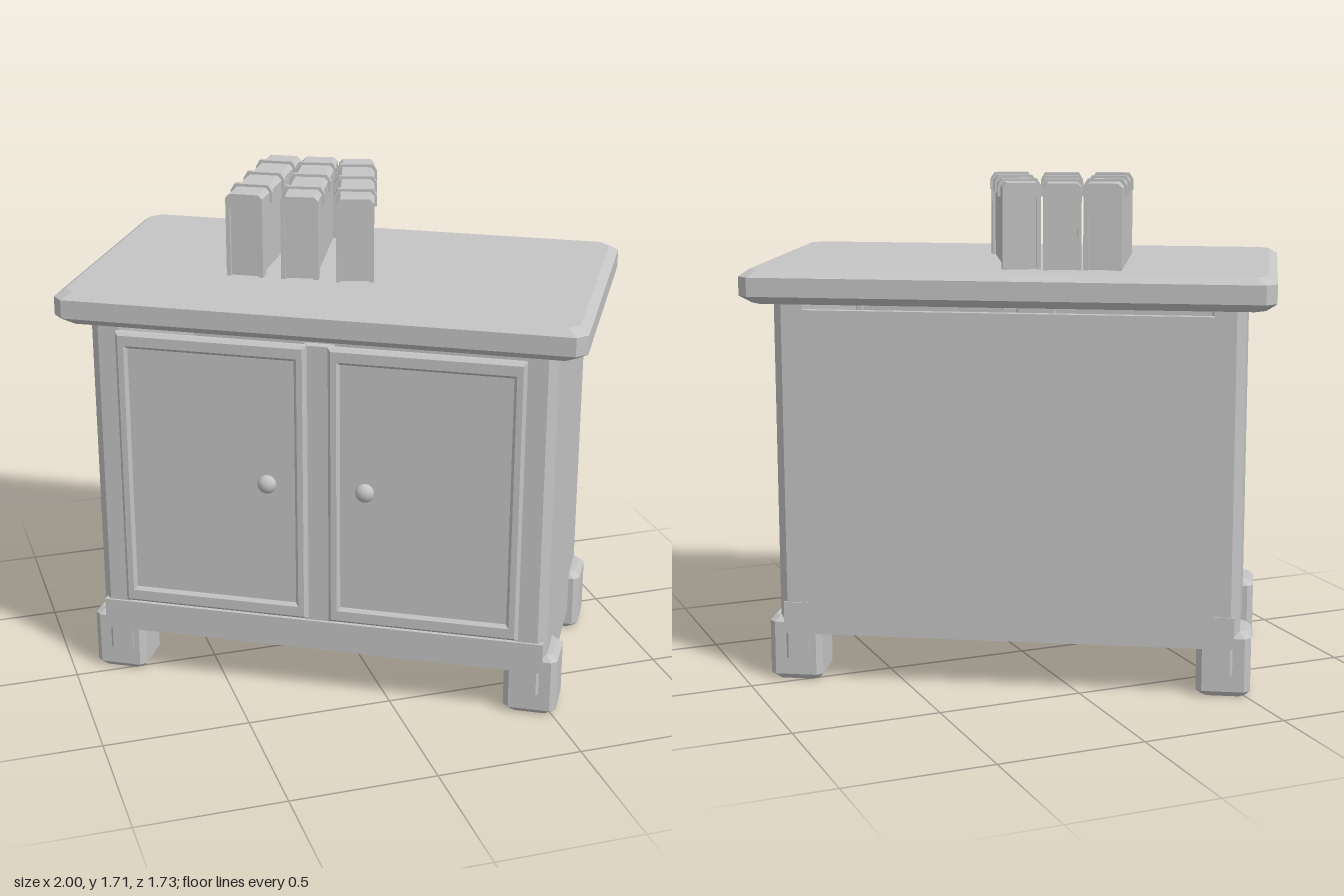
import * as THREE from 'three';
import { ConvexGeometry } from 'three/addons/geometries/ConvexGeometry.js';

const grey = new THREE.MeshStandardMaterial({ color: 0xc4c4c4 });
grey.name = 'plain grey';

function add(parent, name, geometry, x = 0, y = 0, z = 0) {
  const mesh = new THREE.Mesh(geometry, grey);
  mesh.name = name;
  mesh.position.set(x, y, z);
  parent.add(mesh);
  return mesh;
}

// Box given by its limits on each axis
function block(parent, name, [x0, x1], [y0, y1], [z0, z1]) {
  return add(parent, name, new THREE.BoxGeometry(x1 - x0, y1 - y0, z1 - z0),
    (x0 + x1) / 2, (y0 + y1) / 2, (z0 + z1) / 2);
}

// Solid with cut corners, from octagonal rings [height, inset]
function chamferedBlock(hx, hz, cut, rings) {
  const points = [];
  for (const [y, inset] of rings) {
    const a = hx - inset, b = hz - inset;
    for (const sx of [-1, 1]) for (const sz of [-1, 1]) {
      points.push(new THREE.Vector3(sx * (a - cut), y, sz * b), new THREE.Vector3(sx * a, y, sz * (b - cut)));
    }
  }
  return new ConvexGeometry(points);
}

function polygon(points) {
  return new THREE.Shape(points.map(([x, y]) => new THREE.Vector2(x, y)));
}

function extrude(shape, depth) {
  return new THREE.ExtrudeGeometry(shape, { depth, bevelEnabled: false });
}

function buildDoor(side) {
  const door = new THREE.Group();
  door.name = side > 0 ? 'leftDoor' : 'rightDoor';
  const w = 0.65, h = 0.99, e = 0.01;
  const rect = (x, y) => [[-x, -y], [x, -y], [x, y], [-x, y]];
  const frame = polygon(rect(w / 2 - e, h / 2 - e));
  frame.holes.push(polygon(rect(w / 2 - 0.03, h / 2 - 0.045)));
  const frameGeometry = new THREE.ExtrudeGeometry(frame,
    { depth: 0.02, bevelEnabled: true, bevelSize: e, bevelThickness: e, bevelSegments: 1 });
  add(door, 'doorFrame', frameGeometry, 0, 0, 0.01);
  add(door, 'doorPanel', new THREE.BoxGeometry(w - 0.04, h - 0.06, 0.02), 0, 0, 0.016);
  const knob = add(door, 'doorKnob', new THREE.SphereGeometry(0.032, 20, 14), -side * 0.195, 0.005, 0.055);
  knob.scale.z = 0.8;
  const stem = add(door, 'knobStem', new THREE.CylinderGeometry(0.014, 0.014, 0.04, 14), -side * 0.195, 0.005, 0.035);
  stem.rotation.x = Math.PI / 2;
  door.position.set(side * 0.362, 0.785, 0.41);
  return door;
}

// Book standing with its spine up, covers left and right
function buildBook(x, z, turn) {
  const book = new THREE.Group();
  book.name = 'book';
  const w = 0.063, l = 0.275, bottom = 1.29, top = 1.705, b = 0.014;
  block(book, 'pages', [-w + 0.01, w - 0.012], [bottom, top - 0.03], [-l + 0.014, l - 0.014]);
  block(book, 'plainCover', [-w, -w + 0.014], [bottom, top - 0.04], [-l, l]);
  for (const s of [-1, 1]) {
    const z0 = s > 0 ? l - 0.045 : -l;
    block(book, 'coverEdge', [w - 0.016, w], [bottom, top - 0.04], [z0, z0 + 0.045]);
  }
  const spine = (grow) => polygon([
    [-w - grow, top - 0.05], [w + grow, top - 0.05], [w + grow, top - b],
    [w - b + grow, top + grow], [-w + b - grow, top + grow], [-w - grow, top - b]]);
  add(book, 'spine', extrude(spine(0), 2 * l), 0, 0, -l);
  for (const t of [-0.165, 0, 0.165]) {
    add(book, 'spineBand', extrude(spine(0.009), 0.02), 0, 0, t - 0.01);
  }
  book.position.set(x, 0, z);
  book.rotation.y = THREE.MathUtils.degToRad(turn);
  return book;
}

export function createModel() {
  const model = new THREE.Group();
  model.name = 'cabinetWithBooks';
  const cabinet = new THREE.Group();
  cabinet.name = 'cabinet';
  cabinet.rotation.y = -Math.PI / 6;
  model.add(cabinet);

  // Worktop with bevelled rims
  add(cabinet, 'worktop', chamferedBlock(0.88, 0.511, 0.035,
    [[1.31, 0.035], [1.337, 0], [1.4, 0], [1.422, 0.03]]));

  // Side boards with chamfered outer edges, and feet
  const A = 0.783, B = 0.424, C = 0.03, inner = 0.68;
  for (const s of [-1, 1]) {
    const outline = polygon([[inner, -B], [A - C, -B], [A, -B + C], [A, B - C], [A - C, B], [inner, B]]
      .map(([x, y]) => [s * x, s * y]));
    const board = add(cabinet, 'sideBoard', extrude(outline, 1.235), 0, 1.315, 0);
    board.rotation.x = Math.PI / 2;
    for (const f of [-1, 1]) {
      add(cabinet, 'foot', chamferedBlock(0.091, 0.091, 0.02,
        [[0, 0.018], [0.02, 0], [0.205, 0], [0.225, 0.018]]), s * 0.73, 0, f * 0.325);
    }
  }

  // Back, floor, rails and the stile between the doors
  block(cabinet, 'backPanel', [-inner, inner], [0.17, 1.285], [-0.428, -0.4]);
  block(cabinet, 'floor', [-inner, inner], [0.172, 0.2], [-0.4, 0.4]);
  block(cabinet, 'frontRail', [-0.772, 0.772], [0.17, 0.278], [0.39, 0.432]);
  for (const s of [-1, 1]) {
    const ends = s > 0 ? [inner, 0.765] : [-0.765, -inner];
    block(cabinet, 'backRailEnd', ends, [0.17, 0.28], [-0.428, -0.4]);
  }
  block(cabinet, 'centreStile', [-0.05, 0.05], [0.27, 1.275], [0.39, 0.422]);

  for (const s of [-1, 1]) cabinet.add(buildDoor(s));

  // Three books fanned out on the worktop
  const books = new THREE.Group();
  books.name = 'books';
  books.add(buildBook(-0.227, -0.222, -29.5), buildBook(-0.085, -0.15, -23.7), buildBook(0.056, -0.075, -18));
  model.add(books);
  return model;
}
